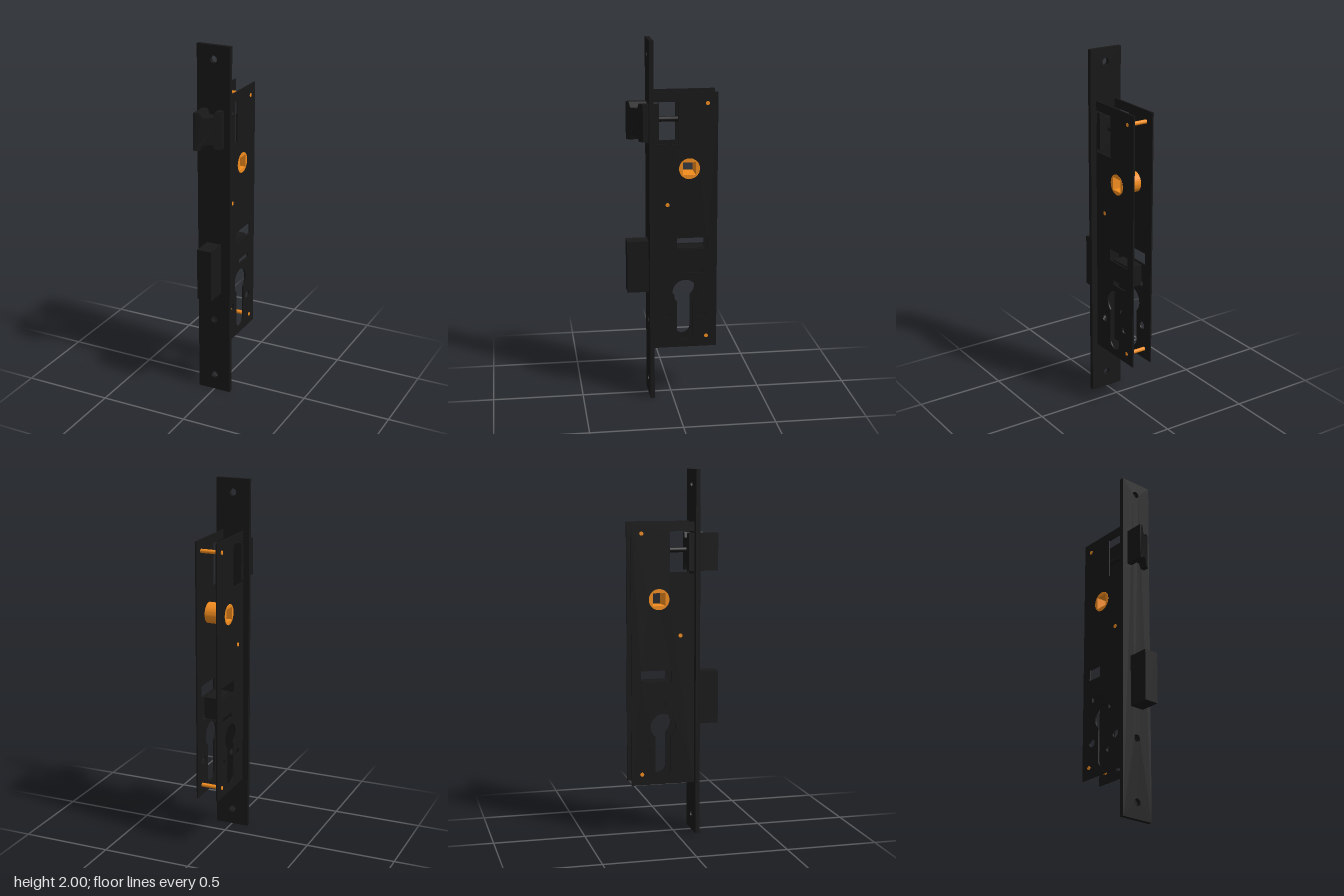
import * as THREE from 'three';
import { toCreasedNormals } from 'three/addons/utils/BufferGeometryUtils.js';

const black = new THREE.MeshStandardMaterial({ color: 0x181818 });
const orange = new THREE.MeshStandardMaterial({ color: 0xf28c1e });

function circle(x, y, r) {
  const p = new THREE.Path();
  p.absarc(x, y, r, 0, Math.PI * 2, true);
  return p;
}

function rect(x0, x1, y0, y1, Type = THREE.Path) {
  return new Type([[x0, y0], [x1, y0], [x1, y1], [x0, y1]].map(p => new THREE.Vector2(...p)));
}

function extrude(shape, depth) {
  return new THREE.ExtrudeGeometry(shape, { depth, bevelEnabled: false, curveSegments: 24 });
}

// Profile drawn in (-z, y), extruded from x0 to x1
function extrudeAcross(shape, x0, x1) {
  return extrude(shape, x1 - x0).rotateY(Math.PI / 2).translate(x0, 0, 0);
}

export function createModel() {
  const model = new THREE.Group();
  const add = (name, geometry, material = black) => {
    const mesh = new THREE.Mesh(toCreasedNormals(geometry, 0.6), material);
    mesh.name = name;
    model.add(mesh);
  };
  const addBox = (name, x0, x1, y0, y1, z0, z1) => add(name,
    new THREE.BoxGeometry(x1 - x0, y1 - y0, z1 - z0)
      .translate((x0 + x1) / 2, (y0 + y1) / 2, (z0 + z1) / 2));

  // Faceplate with three screw holes
  const face = rect(-0.096, 0.096, 0, 2, THREE.Shape);
  for (const y of [0.09, 0.44, 1.925]) face.holes.push(circle(0, y, 0.02));
  add('faceplate', extrude(face, 0.024).translate(0, 0, 0.104));

  // Case side plates with all their cut-outs
  const side = rect(-0.105, 0.247, 0.285, 1.72, THREE.Shape);
  const keyhole = new THREE.Path();
  const half = 0.044, r = 0.07, ky = 0.607, kz = 0.071;
  const a = Math.asin(half / r);
  keyhole.absarc(kz, ky, r, -Math.PI / 2 + a, Math.PI * 1.5 - a, false);
  keyhole.absarc(kz, 0.325 + half, half, Math.PI, Math.PI * 2, false);
  keyhole.closePath();
  side.holes.push(
    rect(-0.1, 0.032, 1.44, 1.67),
    circle(0.093, 1.305, 0.055),
    rect(0.025, 0.193, 0.852, 0.917),
    rect(0.058, 0.17, 0.715, 0.742),
    keyhole,
    circle(-0.028, 0.48, 0.022),
    circle(0.167, 0.48, 0.022),
  );
  add('rightSidePlate', extrudeAcross(side, -0.064, -0.056));
  add('leftSidePlate', extrudeAcross(side, 0.053, 0.061));

  // Latch bolt: notched outline, front end cut on a slant
  const top = 1.66, bottom = 1.455, mid = (top + bottom) / 2;
  const upper = [[0.06, top], [0.033, top], [0.022, top - 0.03], [-0.022, top - 0.03],
    [-0.033, top], [-0.052, top], [-0.064, top]];
  const outline = [...upper, ...upper.map(([x, y]) => [x, 2 * mid - y]).reverse()];
  const latch = extrude(new THREE.Shape(outline.map(p => new THREE.Vector2(...p))), 1);
  const pos = latch.attributes.position;
  for (let i = 0; i < pos.count; i++) {
    const tip = Math.min(0.237, 0.237 - (pos.getX(i) + 0.052) * 0.705);
    pos.setZ(i, pos.getZ(i) > 0.5 ? tip : 0.072);
  }
  latch.computeVertexNormals();
  add('latchBolt', latch);
  add('latchSpindle', new THREE.CylinderGeometry(0.014, 0.014, 0.19, 24)
    .rotateX(Math.PI / 2).translate(-0.003, 1.567, -0.002));

  // Dead bolt and its inner driver block
  addBox('deadBolt', -0.042, 0.042, 0.61, 0.9, 0.04, 0.246);
  addBox('driverBlock', -0.042, 0.042, 0.735, 0.853, -0.18, -0.03);

  // Handle follower with square spindle hole
  const hub = new THREE.Shape();
  hub.absarc(0.093, 1.305, 0.057, 0, Math.PI * 2, false);
  hub.holes.push(rect(0.058, 0.128, 1.27, 1.34));
  add('follower', extrudeAcross(hub, -0.066, 0.0625), orange);

  // Spacer pins joining the side plates
  for (const [y, z] of [[1.66, -0.19], [1.107, 0.026], [0.345, -0.19]]) {
    add('spacerPin', new THREE.CylinderGeometry(0.011, 0.011, 0.1305, 20)
      .rotateZ(Math.PI / 2).translate(-0.00275, y, z), orange);
  }
  return model;
}
